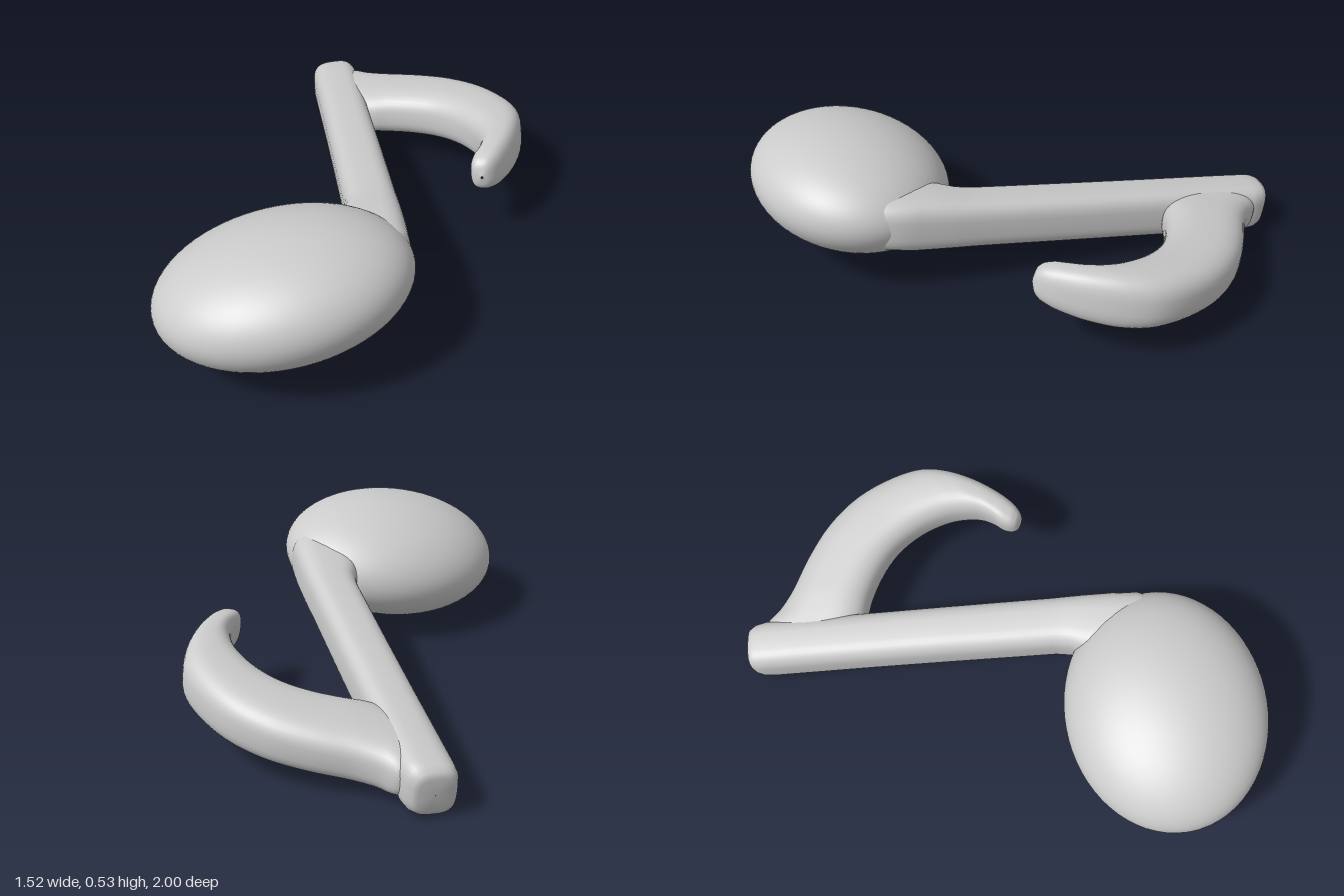
import * as THREE from 'three';

const material = new THREE.MeshStandardMaterial({ color: 0xcccccc, roughness: 0.6 });

// Height of the sloping plane on which the stem and flag lie.
const planeY = (x, z) => 0.24 + 0.143 * z + 0.09 * (x - 0.065);

// Skin a list of rounded cross-sections { c, u, v }: centre and two half-axes.
function loft(sections, power, sides = 40) {
  const positions = [], index = [];
  const round = (t) => Math.sign(t) * Math.abs(t) ** power;
  for (const { c, u, v } of sections) {
    for (let j = 0; j < sides; j++) {
      const a = (j / sides) * Math.PI * 2;
      const p = c.clone().addScaledVector(u, round(Math.cos(a))).addScaledVector(v, round(Math.sin(a)));
      positions.push(p.x, p.y, p.z);
    }
  }
  for (let i = 0; i < sections.length - 1; i++) {
    for (let j = 0; j < sides; j++) {
      const k = (j + 1) % sides;
      const a = i * sides + j, b = i * sides + k;
      index.push(a, b, b + sides, a, b + sides, a + sides);
    }
  }
  const geometry = new THREE.BufferGeometry();
  geometry.setAttribute('position', new THREE.Float32BufferAttribute(positions, 3));
  geometry.setIndex(index);
  geometry.computeVertexNormals();
  return geometry;
}

function addPart(group, name, geometry) {
  const mesh = new THREE.Mesh(geometry, material);
  mesh.name = name;
  group.add(mesh);
}

// Smooth curve through rows of three numbers.
const smooth = (rows, n) =>
  new THREE.CatmullRomCurve3(rows.map((r) => new THREE.Vector3(...r)), false, 'centripetal');

// Note head: a sphere stretched and sheared into a tilted ellipsoid.
function headGeometry() {
  const geometry = new THREE.SphereGeometry(1, 64, 48);
  geometry.applyMatrix4(new THREE.Matrix4().set(
    0.46, 0, 0, -0.3,
    0.042, 0.236, 0, 0.29,
    -0.025, 0.065, 0.373, 0.622,
    0, 0, 0, 1));
  return geometry;
}

// Stem: a rounded bar from its bevelled end to a flare inside the head.
function stemGeometry() {
  // z, centre x, half width, half height
  const rows = [
    [-0.985, 0.06, 0.001, 0.001], [-0.985, 0.06, 0.06, 0.065], [-0.975, 0.06, 0.078, 0.088],
    [-0.95, 0.063, 0.091, 0.098], [-0.91, 0.066, 0.097, 0.101], [-0.8, 0.066, 0.097, 0.102],
    [-0.5, 0.066, 0.097, 0.102], [-0.2, 0.065, 0.098, 0.102], [0.1, 0.063, 0.099, 0.102],
    [0.22, 0.062, 0.099, 0.103], [0.28, 0.058, 0.104, 0.105], [0.34, 0.045, 0.117, 0.11],
    [0.45, 0.035, 0.125, 0.115], [0.55, 0.015, 0.14, 0.11], [0.65, -0.03, 0.14, 0.1],
    [0.75, -0.1, 0.1, 0.08], [0.78, -0.1, 0.001, 0.001],
  ];
  return loft(rows.map(([z, x, w, h]) => ({
    c: new THREE.Vector3(x, planeY(0.065, z), z),
    u: new THREE.Vector3(w, w * 0.09, 0),
    v: new THREE.Vector3(-0.03 * h, h, -0.15 * h),
  })), 0.62);
}

// Flag: a curved, tapering hook defined by its outer and inner edges.
function flagGeometry() {
  // outer x, outer z, inner x, inner z, half thickness
  const rows = [
    [0.06, -0.93, 0.04, -0.6, 0.085], [0.16, -0.92, 0.12, -0.55, 0.092],
    [0.21, -0.87, 0.17, -0.52, 0.096], [0.28, -0.82, 0.24, -0.5, 0.1],
    [0.42, -0.75, 0.34, -0.455, 0.102], [0.55, -0.665, 0.43, -0.39, 0.104],
    [0.66, -0.545, 0.5, -0.295, 0.105], [0.73, -0.4, 0.54, -0.19, 0.107],
    [0.755, -0.28, 0.548, -0.12, 0.107], [0.735, -0.17, 0.54, -0.05, 0.104],
    [0.68, -0.05, 0.515, 0, 0.095], [0.61, 0.05, 0.487, 0.035, 0.082],
    [0.563, 0.096, 0.476, 0.066, 0.066], [0.535, 0.111, 0.48, 0.09, 0.045],
    [0.512, 0.114, 0.505, 0.112, 0.004],
  ];
  const outer = smooth(rows.map((r) => [r[0], 0, r[1]]));
  const inner = smooth(rows.map((r) => [r[2], 0, r[3]]));
  const sections = [];
  const steps = (rows.length - 1) * 4;
  for (let i = 0; i <= steps; i++) {
    const t = i / steps;
    const o = outer.getPoint(t), n = inner.getPoint(t);
    o.y = planeY(o.x, o.z);
    n.y = planeY(n.x, n.z);
    const f = t * (rows.length - 1), k = Math.min(Math.floor(f), rows.length - 2);
    const h = THREE.MathUtils.lerp(rows[k][4], rows[k + 1][4], f - k);
    sections.push({
      c: o.clone().add(n).multiplyScalar(0.5),
      u: o.clone().sub(n).multiplyScalar(0.5),
      v: new THREE.Vector3(-0.09 * h, h, -0.143 * h),
    });
  }
  return loft(sections, 0.72);
}

export function createModel() {
  const group = new THREE.Group();
  group.name = 'musicalNote';
  addPart(group, 'noteHead', headGeometry());
  addPart(group, 'stem', stemGeometry());
  addPart(group, 'flag', flagGeometry());
  return group;
}
